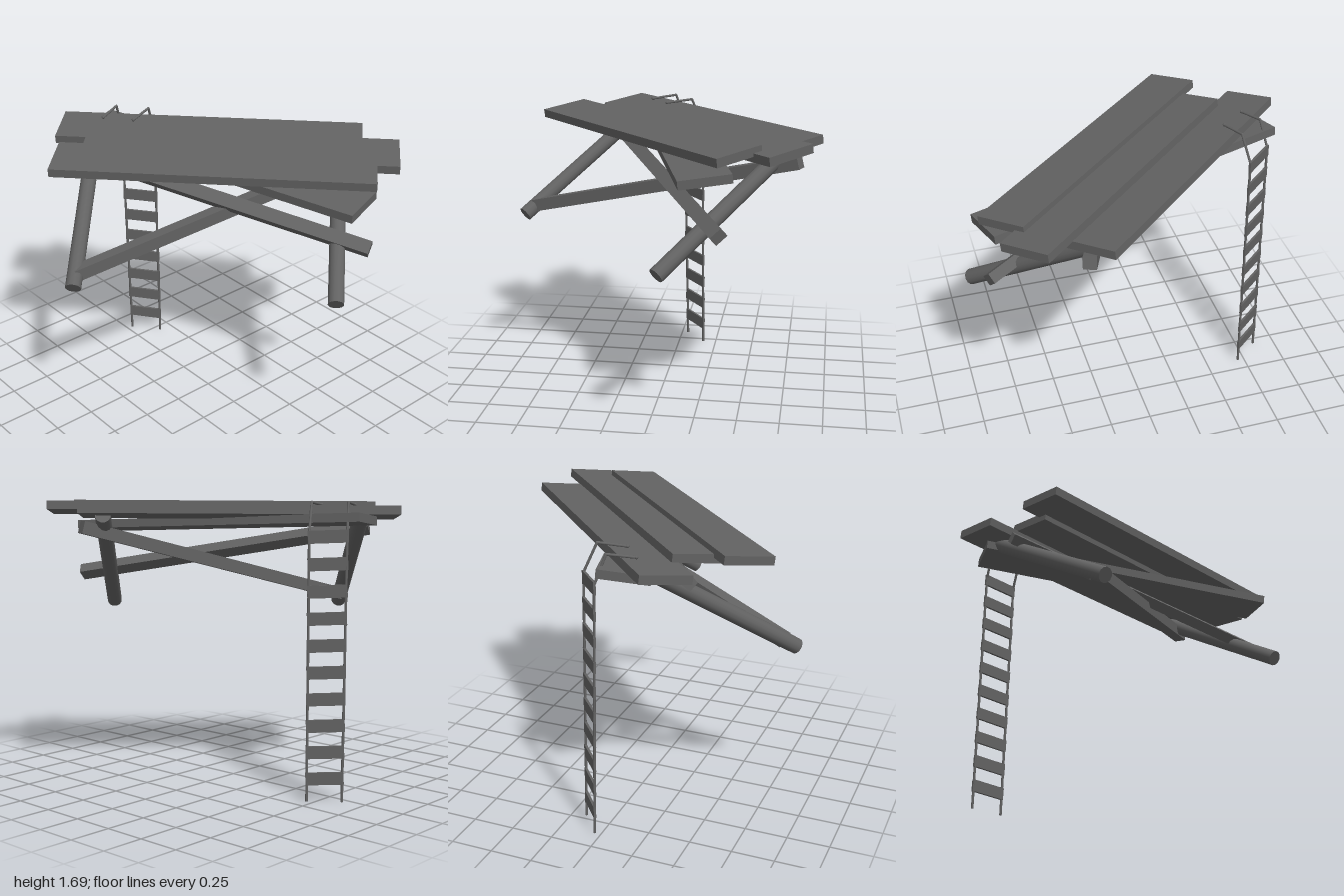
import * as THREE from 'three';

const V = (p) => new THREE.Vector3(...p);

export function createModel() {
  const group = new THREE.Group();
  const mat = new THREE.MeshStandardMaterial({ color: 0x626262 });

  const add = (name, geo) => {
    const mesh = new THREE.Mesh(geo, mat);
    mesh.name = name;
    group.add(mesh);
    return mesh;
  };

  // Board running from a to b; side is the approximate direction of its width
  const board = (name, a, b, side, width, thick) => {
    const p = V(a), q = V(b);
    const dir = q.clone().sub(p);
    const mesh = add(name, new THREE.BoxGeometry(dir.length(), thick, width));
    dir.normalize();
    const s = V(side).addScaledVector(dir, -V(side).dot(dir)).normalize();
    const up = s.clone().cross(dir);
    mesh.quaternion.setFromRotationMatrix(new THREE.Matrix4().makeBasis(dir, up, s));
    mesh.position.copy(p).add(q).multiplyScalar(0.5);
  };

  // Round post from a to b
  const log = (name, a, b, r) => {
    const p = V(a), q = V(b);
    const dir = q.clone().sub(p);
    const mesh = add(name, new THREE.CylinderGeometry(r, r, dir.length(), 12));
    mesh.quaternion.setFromUnitVectors(new THREE.Vector3(0, 1, 0), dir.normalize());
    mesh.position.copy(p).add(q).multiplyScalar(0.5);
  };

  // Deck: three overlapping planks, each tipped slightly sideways
  const tilt = [0.733, 0.13, -0.68];
  [
    ['backDeckPlank', [-0.41, 1.62, -0.898], [0.825, 1.63, 0.434]],
    ['middleDeckPlank', [-0.461, 1.635, -0.571], [0.778, 1.645, 0.764]],
    ['frontDeckPlank', [-0.723, 1.635, -0.503], [0.515, 1.645, 0.831]],
  ].forEach(([name, a, b]) => board(name, a, b, tilt, 0.295, 0.05));

  // Skewed plank beneath the deck
  board('underPlank', [0.347, 1.52, 0.903], [-0.163, 1.59, -0.872], [0.275, 0.03, -0.085], 0.29, 0.05);

  // Slanted support logs, running up into the deck
  log('rightSupportLog', [-0.9, 1.025, -0.12], [-0.248, 1.605, -0.762], 0.046);
  log('leftSupportLog', [0.1, 1.025, 0.965], [0.752, 1.605, 0.323], 0.046);

  // Crossed braces
  board('lowBrace', [-0.845, 1.074, -0.174], [0.815, 1.539, 0.438], [-0.35, 0, 1], 0.073, 0.073);
  board('highBrace', [-0.445, 1.535, -0.675], [0.42, 1.232, 0.905], [0.06, 0.055, -0.022], 0.08, 0.062);

  // Ladder rails with hooked tops resting on the deck
  const rails = [
    [[0.04, 0, -0.865], [0.01, 1.52, -0.855], [-0.045, 1.685, -0.82], [-0.19, 1.667, -0.76]],
    [[0.165, 0, -0.71], [0.147, 1.52, -0.697], [0.08, 1.685, -0.66], [-0.075, 1.667, -0.61]],
  ];
  rails.forEach((pts, i) => {
    for (let k = 0; k < 3; k++) log(`ladderRail${i + 1}Part${k + 1}`, pts[k], pts[k + 1], 0.0075);
    // Rounded knuckles at the bends and tips
    pts.slice(1).forEach((p, k) => {
      add('railJoint', new THREE.SphereGeometry(k === 2 ? 0.01 : 0.0075, 10, 8)).position.set(...p);
    });
  });

  // Flat ladder rungs
  for (let i = 0; i < 10; i++) {
    const y = 0.134 + i * 0.1515;
    const [a, b] = rails.map((r) => V(r[0]).lerp(V(r[1]), y / 1.52));
    const over = b.clone().sub(a).multiplyScalar(0.04);
    a.sub(over).y += 0.004;
    b.add(over).y -= 0.004;
    board('ladderRung', a.toArray(), b.toArray(), [0, 1, 0], 0.072, 0.014);
  }

  return group;
}
